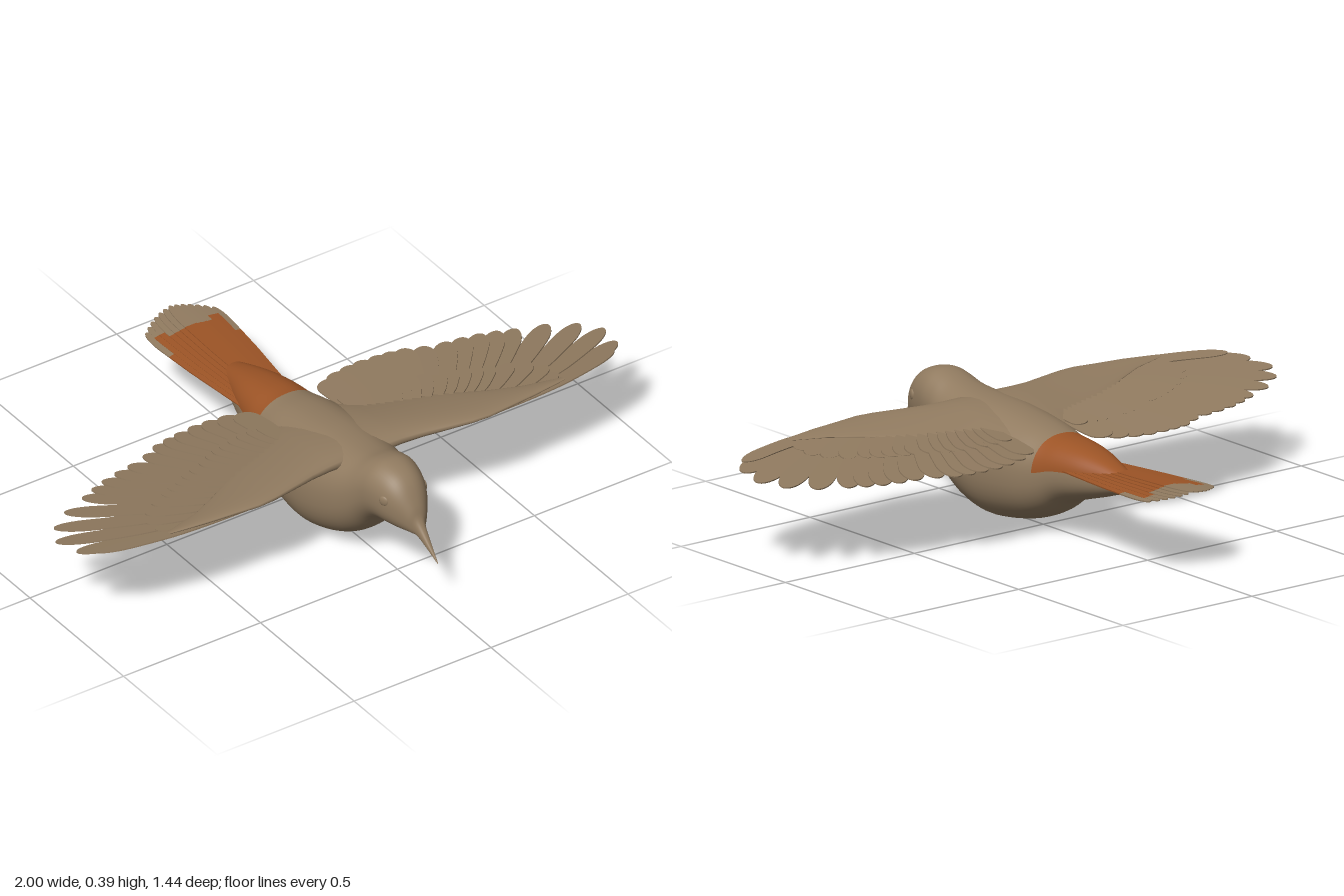
import * as THREE from 'three';

const tan = new THREE.MeshStandardMaterial({ color: 0x917b60, side: THREE.DoubleSide });
tan.name = 'tan plumage';
const rust = new THREE.MeshStandardMaterial({ color: 0x9c5426, side: THREE.DoubleSide });
rust.name = 'rust plumage';

// Skin a list of closed rings; isSecond(i, j) sends a cell to the second material
function loft(rings, isSecond = () => false) {
  const n = rings[0].length, first = [], second = [];
  for (let i = 0; i < rings.length - 1; i++) {
    for (let j = 0; j < n; j++) {
      const a = i * n + j, b = i * n + (j + 1) % n;
      (isSecond(i, j) ? second : first).push(a, a + n, b, b, a + n, b + n);
    }
  }
  const geo = new THREE.BufferGeometry();
  geo.setAttribute('position', new THREE.Float32BufferAttribute(rings.flat(2), 3));
  geo.setIndex([...first, ...second]);
  geo.addGroup(0, first.length, 0);
  geo.addGroup(first.length, second.length, 1);
  geo.computeVertexNormals();
  return geo;
}

function addMesh(parent, name, geo, mat) {
  const mesh = new THREE.Mesh(geo, mat);
  mesh.name = name;
  parent.add(mesh);
  return mesh;
}

// Thin round-tipped blade from base to tip; from/to keep only part of its length
function feather(base, tip, width, { up, bend = 0, from = 0, to = 1 }) {
  const dir = tip.clone().sub(base), length = dir.length();
  dir.normalize();
  const side = dir.clone().cross(up).normalize();
  const normal = side.clone().cross(dir);
  const half = t => width / 2 * (0.5 + 0.5 * Math.min(1, t * 1.8)) *
    Math.sqrt(Math.max(0, 1 - Math.pow(Math.max(0, (t - 0.82) / 0.18), 2)));
  const left = [], right = [], steps = 18;
  for (let k = 0; k <= steps; k++) {
    const t = from + (to - from) * Math.sin(k / steps * Math.PI / 2);
    const mid = bend * Math.sin(Math.PI * t);
    right.push(new THREE.Vector2(mid + half(t), t * length));
    left.unshift(new THREE.Vector2(mid - half(t), t * length));
  }
  if (to === 1) left.shift();
  const geo = new THREE.ExtrudeGeometry(new THREE.Shape([...right, ...left]), { depth: 0.004, bevelEnabled: false });
  return geo.applyMatrix4(new THREE.Matrix4().makeBasis(side, dir, normal).setPosition(base));
}

// Head, bill, trunk and rump in one smooth skin
function addBody(bird) {
  // z, top, bottom, half width
  const sections = [
    [0.716, 0.149, 0.145, 0.001], [0.67, 0.197, 0.172, 0.009], [0.625, 0.25, 0.194, 0.018],
    [0.605, 0.295, 0.198, 0.036], [0.57, 0.349, 0.196, 0.062], [0.53, 0.379, 0.193, 0.08],
    [0.475, 0.392, 0.187, 0.094], [0.43, 0.385, 0.155, 0.102], [0.38, 0.368, 0.094, 0.118],
    [0.32, 0.358, 0.05, 0.138], [0.235, 0.352, 0.016, 0.156], [0.14, 0.345, 0.002, 0.161],
    [0, 0.326, 0.024, 0.146], [-0.09, 0.309, 0.06, 0.122], [-0.16, 0.304, 0.109, 0.105],
    [-0.24, 0.293, 0.137, 0.086], [-0.32, 0.274, 0.162, 0.06], [-0.4, 0.248, 0.19, 0.034],
    [-0.475, 0.226, 0.22, 0.004]
  ];
  const spline = f => new THREE.CatmullRomCurve3(sections.map(f), false, 'catmullrom', 0.5);
  const heights = spline(s => new THREE.Vector3(s[0], s[1], s[2]));
  const widths = spline(s => new THREE.Vector3(s[3], 0, 0));
  const per = 4, count = (sections.length - 1) * per, sides = 48, rings = [];
  const round = v => Math.sign(v) * Math.pow(Math.abs(v), 0.88);
  for (let i = 0; i <= count; i++) {
    const h = heights.getPoint(i / count), w = Math.max(0.001, widths.getPoint(i / count).x);
    const ring = [];
    for (let j = 0; j < sides; j++) {
      const a = j / sides * Math.PI * 2;
      ring.push([w * round(Math.cos(a)), (h.y + h.z) / 2 + (h.y - h.z) / 2 * round(Math.sin(a)), h.x]);
    }
    rings.push(ring);
  }
  // rust rump: upper half behind the back
  const geo = loft(rings, (i, j) => i >= 13 * per && j >= 1 && j < sides / 2 - 1);
  addMesh(bird, 'body', geo, [tan, rust]);

  for (const sx of [1, -1]) {
    const eye = addMesh(bird, sx > 0 ? 'leftEye' : 'rightEye', new THREE.SphereGeometry(0.017, 20, 14), tan);
    eye.position.set(sx * 0.074, 0.302, 0.536);
    eye.rotation.y = -sx * 0.4;
    eye.scale.x = 0.4;
  }
}

const wingY = z => 0.278 + 0.125 * z;

function addWing(bird, sx) {
  const wing = new THREE.Group();
  wing.name = sx > 0 ? 'leftWing' : 'rightWing';
  bird.add(wing);

  // fleshy arm: x, leading z, trailing z, half thickness
  const arm = [
    [0.02, 0.33, -0.02, 0.04], [0.08, 0.335, -0.01, 0.04], [0.13, 0.335, 0.03, 0.036], [0.2, 0.343, 0.07, 0.029],
    [0.28, 0.36, 0.11, 0.023], [0.36, 0.376, 0.15, 0.018], [0.42, 0.381, 0.19, 0.015],
    [0.5, 0.372, 0.24, 0.012], [0.6, 0.361, 0.29, 0.009], [0.72, 0.342, 0.325, 0.003]
  ];
  const rings = arm.map(([x, lead, trail, thick]) => {
    const ring = [];
    for (let j = 0; j < 24; j++) {
      const a = sx * j / 24 * Math.PI * 2, c = Math.cos(a);
      const z = (lead + trail) / 2 + (lead - trail) / 2 * c;
      ring.push([sx * x, wingY(z) + 0.004 + thick * Math.sin(a) * (0.85 + 0.3 * c), z]);
    }
    return ring;
  });
  addMesh(wing, 'wingArm', loft(rings), tan);

  // flight feathers, from the outermost to the innermost
  const tips = [
    [0.985, 0.228], [1.0, 0.138], [0.957, 0.065], [0.88, 0.008], [0.79, -0.03], [0.74, -0.052],
    [0.69, -0.07], [0.635, -0.083], [0.58, -0.092], [0.51, -0.112], [0.455, -0.138], [0.41, -0.147],
    [0.365, -0.152], [0.31, -0.156], [0.26, -0.152], [0.205, -0.142], [0.155, -0.12]
  ];
  const point = (x, z, lift) => new THREE.Vector3(sx * x, wingY(z) + lift, z);
  const addFeather = (name, bx, bz, tx, tz, width, lift, bend) => {
    const base = point(bx, bz, lift), tip = point(tx, tz, lift);
    const up = new THREE.Vector3(0, 1, -0.125).normalize()
      .applyAxisAngle(tip.clone().sub(base).normalize(), -sx * 0.08);
    addMesh(wing, name, feather(base, tip, width, { up, bend: sx * bend }), tan);
  };
  const last = tips.length - 1;
  tips.forEach(([tx, tz], i) => {
    const t = i / last;
    const bx = 0.46 - 0.32 * t, bz = 0.335 - 0.2 * t;
    addFeather('flightFeather', bx, bz, tx, tz, 0.074 + 0.012 * t, -0.014 + 0.0016 * i, 0.026 * (1 - t));
    // shorter covert lying over each flight feather
    const r = 0.52 + 0.06 * t;
    addFeather('covertFeather', bx, bz, bx + (tx - bx) * r, bz + (tz - bz) * r, 0.06, -0.007 + 0.0014 * i, 0.012 * (1 - t));
  });
  // narrow feather closing the leading edge
  addFeather('leadingFeather', 0.42, 0.352, 0.94, 0.28, 0.05, -0.008, 0.02);
}

// Slightly fanned tail, rust with tan tips
function addTail(bird) {
  const tail = new THREE.Group();
  tail.name = 'tail';
  bird.add(tail);
  const count = 13;
  for (let i = 0; i < count; i++) {
    const s = i / (count - 1) * 2 - 1, m = Math.abs(s);
    const base = new THREE.Vector3(s * 0.072, 0.24 - 0.012 * m, -0.13);
    const tip = new THREE.Vector3(s * 0.122, 0.264 - 0.02 * m, -0.72 + 0.055 * m * m);
    const up = new THREE.Vector3(s * 0.12, 1, 0).normalize();
    const cutZ = m < 0.55 ? -0.605 : m < 0.9 ? -0.63 : -0.53;
    const cut = (cutZ - base.z) / (tip.z - base.z);
    addMesh(tail, 'tailFeather', feather(base, tip, 0.042, { up, to: cut }), rust);
    addMesh(tail, 'tailFeatherTip', feather(base, tip, 0.042, { up, from: cut }), tan);
  }
}

export function createModel() {
  const bird = new THREE.Group();
  bird.name = 'bird';
  addBody(bird);
  addWing(bird, 1);
  addWing(bird, -1);
  addTail(bird);
  return bird;
}
